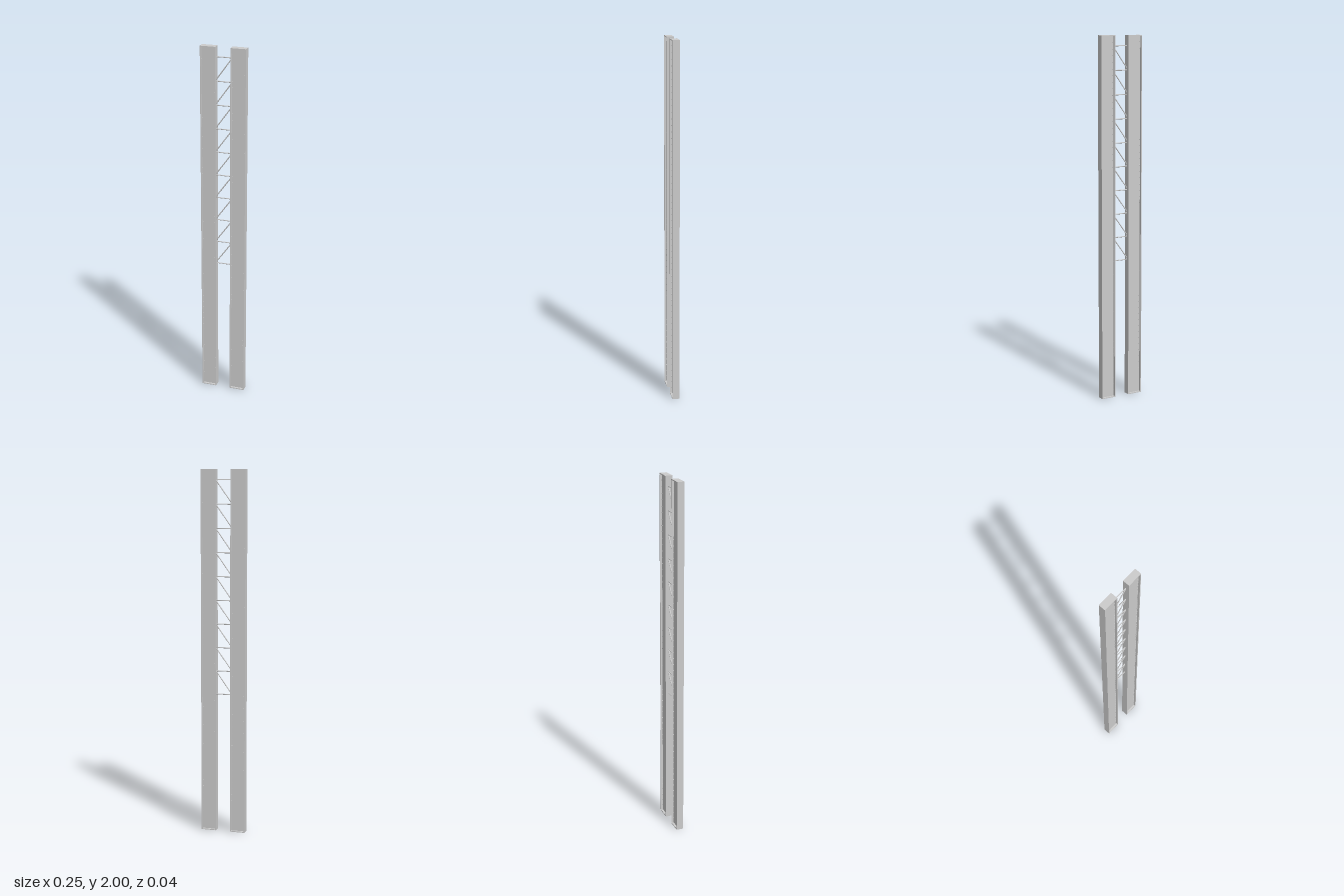
import * as THREE from 'three';

const material = new THREE.MeshStandardMaterial({ color: 0xcccccc });
const INNER = 0.041, OUTER = 0.125, DEPTH = 0.039, HEIGHT = 2;
const RIM = 0.005, WEB = 0.015;

function box(name, w, h, d, x, y, z) {
  const mesh = new THREE.Mesh(new THREE.BoxGeometry(w, h, d), material);
  mesh.name = name;
  mesh.position.set(x, y, z);
  return mesh;
}

// Round bar between two points
function bar(name, a, b, radius) {
  const dir = b.clone().sub(a);
  const mesh = new THREE.Mesh(new THREE.CylinderGeometry(radius, radius, dir.length(), 8), material);
  mesh.name = name;
  mesh.position.copy(a).add(b).multiplyScalar(0.5);
  mesh.quaternion.setFromUnitVectors(new THREE.Vector3(0, 1, 0), dir.normalize());
  return mesh;
}

// Upright: thin web panel framed by flanges and end caps, recessed on both faces
function upright(name, side) {
  const group = new THREE.Group();
  group.name = name;
  const width = OUTER - INNER, cx = side * (INNER + OUTER) / 2;
  group.add(box('webPanel', width - RIM * 2, HEIGHT - RIM * 2, WEB, cx, HEIGHT / 2, 0));
  for (const s of [-1, 1]) {
    group.add(box('flange', RIM, HEIGHT, DEPTH, cx + s * (width - RIM) / 2, HEIGHT / 2, 0));
    group.add(box('endCap', width - RIM * 2, RIM, DEPTH, cx, HEIGHT / 2 + s * (HEIGHT - RIM) / 2, 0));
  }
  // Rows of small rivets beside the flanges, front and back
  const count = 56;
  const rivets = new THREE.InstancedMesh(new THREE.BoxGeometry(0.003, 0.003, 0.003), material, count * 4);
  rivets.name = 'rivets';
  const m = new THREE.Matrix4();
  let n = 0;
  for (let i = 0; i < count; i++)
    for (const sx of [-1, 1])
      for (const sz of [-1, 1])
        rivets.setMatrixAt(n++, m.makeTranslation(
          cx + sx * (width / 2 - RIM - 0.003), 0.0375 + i * 0.035, sz * (WEB / 2 + 0.001)));
  group.add(rivets);
  return group;
}

export function createModel() {
  const model = new THREE.Group();
  model.name = 'lacedColumn';
  model.add(upright('leftUpright', 1), upright('rightUpright', -1));

  // Lacing: rungs with one diagonal rising in every bay
  const lacing = new THREE.Group();
  lacing.name = 'lacing';
  const rungs = 10, first = 0.777, step = 0.1297, reach = INNER + 0.003, z = -0.001;
  for (let i = 0; i < rungs; i++) {
    const y = first + i * step;
    lacing.add(bar('rung', new THREE.Vector3(-reach, y, z), new THREE.Vector3(reach, y, z), 0.003));
    if (i < rungs - 1)
      lacing.add(bar('diagonal', new THREE.Vector3(-reach, y + 0.006, z),
        new THREE.Vector3(reach, y + step - 0.002, z), 0.003));
  }
  model.add(lacing);
  return model;
}
